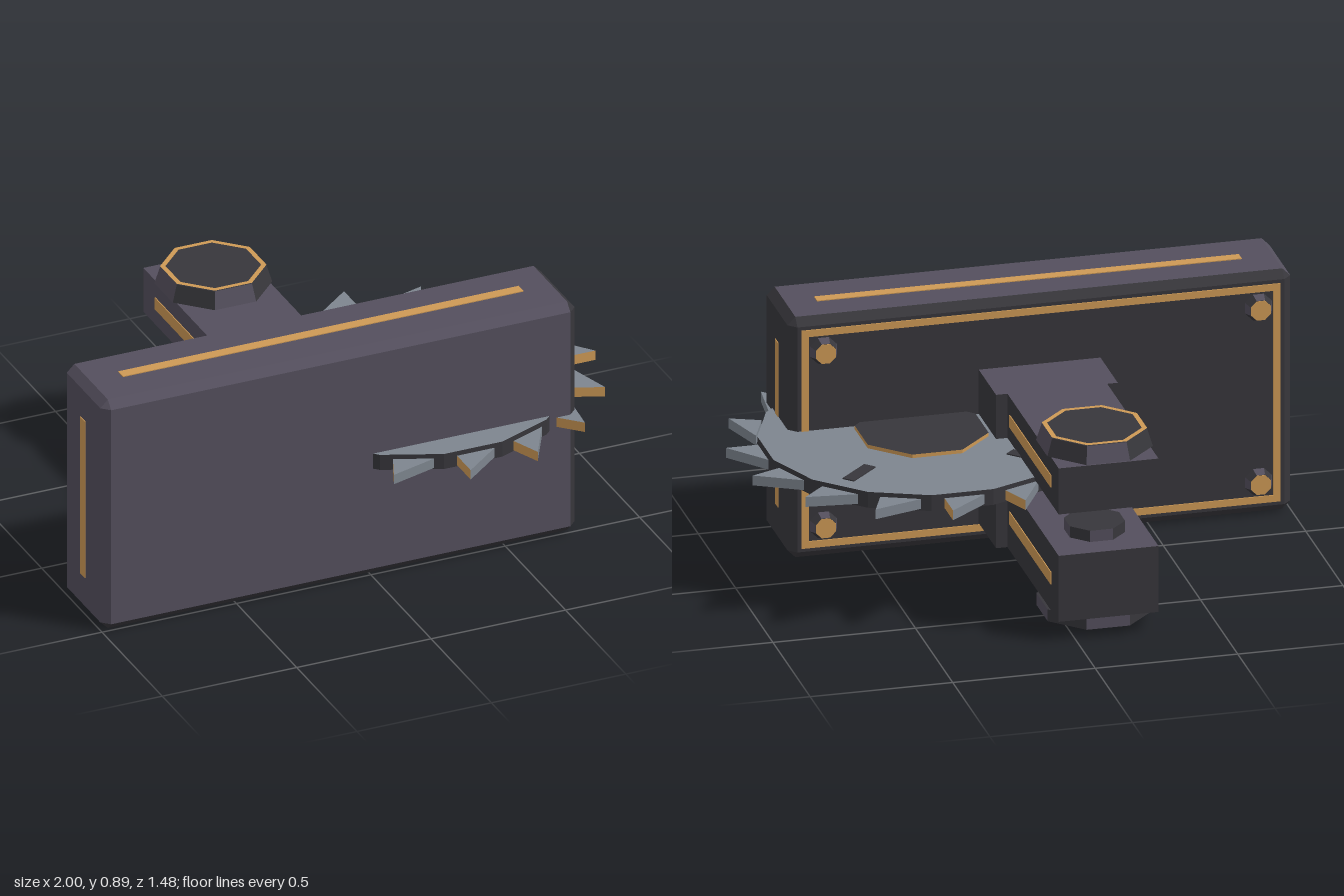
import * as THREE from 'three';
import { ConvexGeometry } from 'three/addons/geometries/ConvexGeometry.js';

const mat = (name, color) => {
  const m = new THREE.MeshStandardMaterial({ color });
  m.name = name;
  return m;
};

export function createModel() {
  const root = new THREE.Group();
  root.name = 'sawBladeBracket';
  const purple = mat('purpleSteel', 0x544f5d);
  const dark = mat('darkSteel', 0x37363b);
  const steel = mat('bladeSteel', 0x7d858e);
  const amber = mat('amberTrim', 0xcd9955);

  const add = (name, geo, material, parent = root) => {
    const m = new THREE.Mesh(geo, material);
    m.name = name;
    parent.add(m);
    return m;
  };

  // Flat-faced geometry whose triangles take a material index from their normal
  const paint = (source, rule) => {
    const geo = source.index ? source.toNonIndexed() : source;
    geo.computeVertexNormals();
    geo.clearGroups();
    const n = new THREE.Vector3();
    for (let i = 0; i < geo.attributes.position.count; i += 3) {
      geo.addGroup(i, 3, rule(n.fromBufferAttribute(geo.attributes.normal, i)));
    }
    return geo;
  };
  const twoTone = (n) => (n.x > 0.5 || n.z < -0.5 || n.y < -0.5 ? 1 : 0);
  const capTone = (n) => (Math.max(Math.abs(n.x), Math.abs(n.z)) > 0.85 ? 0 : 1);

  // Box given by its limits
  const box = (x0, x1, y0, y1, z0, z1) =>
    new THREE.BoxGeometry(x1 - x0, y1 - y0, z1 - z0)
      .translate((x0 + x1) / 2, (y0 + y1) / 2, (z0 + z1) / 2);

  // Prism with flats on the axes, sized by the distance to its flats
  const prism = (top, bottom, y0, y1, sides = 8) => {
    const k = 1 / Math.cos(Math.PI / sides);
    return new THREE.CylinderGeometry(top * k, bottom * k, y1 - y0, sides, 1, false, Math.PI / sides)
      .translate(0, (y0 + y1) / 2, 0);
  };

  // Chamfered plate
  const cx = -0.118, cy = 0.448, cz = 0.347;
  const hx = 0.882, hy = 0.441, hz = 0.167, c = 0.028;
  const corners = [];
  for (const sx of [-1, 1]) for (const sy of [-1, 1]) for (const sz of [-1, 1]) {
    for (const [a, b, d] of [[0, c, c], [c, 0, c], [c, c, 0]]) {
      corners.push(new THREE.Vector3(cx + sx * (hx - a), cy + sy * (hy - b), cz + sz * (hz - d)));
    }
  }
  add('plate', paint(new ConvexGeometry(corners), twoTone), [purple, dark]);

  // Stripes on the four narrow sides of the plate
  for (const s of [-1, 1]) {
    const y = cy + s * hy, x = cx + s * hx;
    add('plateLongStripe', box(-0.86, 0.63, y - 0.003, y + 0.003, 0.322, 0.362), amber);
    add('plateEndStripe', box(x - 0.003, x + 0.003, 0.146, 0.75, 0.325, 0.365), amber);
  }

  // Thin frame and corner bolts on the back of the plate
  const rectangle = (Type, w, h) => new Type([[-w, -h], [w, -h], [w, h], [-w, h]]
    .map(([x, y]) => new THREE.Vector2(x, y)));
  const frame = rectangle(THREE.Shape, 0.84, 0.4);
  frame.holes.push(rectangle(THREE.Path, 0.815, 0.375));
  add('backFrame', new THREE.ExtrudeGeometry(frame, { depth: 0.006, bevelEnabled: false }), amber)
    .position.set(cx, cy, 0.176);
  for (const sx of [-1, 1]) for (const sy of [-1, 1]) {
    const bolt = new THREE.Group();
    bolt.name = 'cornerBolt';
    add('boltHead', paint(prism(0.036, 0.047, 0, 0.033), capTone), [purple, dark], bolt);
    add('boltFace', prism(0.035, 0.035, 0.032, 0.035), amber, bolt);
    bolt.rotation.x = -Math.PI / 2;
    bolt.position.set(cx + sx * 0.763, cy + sy * 0.32, 0.18);
    root.add(bolt);
  }

  // Two clamp arms with side stripes
  for (const [name, y0, y1, s0, s1] of [
    ['upperArm', 0.471, 0.64, 0.531, 0.576],
    ['lowerArm', 0.077, 0.319, 0.175, 0.221],
  ]) {
    const arm = new THREE.Group();
    arm.name = name;
    root.add(arm);
    add('armBeam', paint(box(-0.29, 0.06, y0, y1, -0.74, -0.05), twoTone), [purple, dark], arm);
    add('armRoot', paint(box(-0.327, 0.1, y0, y1, -0.052, 0.185), twoTone), [purple, dark], arm);
    for (const x of [-0.29, 0.06]) {
      add('armStripe', box(x - 0.003, x + 0.003, s0, s1, -0.64, -0.085), amber, arm);
    }
  }

  // Caps and inner pads on the pivot axis
  const pivot = new THREE.Group();
  pivot.name = 'pivot';
  pivot.position.set(-0.115, 0, -0.55);
  root.add(pivot);
  add('topCap', paint(prism(0.167, 0.185, 0.64, 0.702), capTone), [purple, dark], pivot);
  add('bottomCap', paint(prism(0.184, 0.184, 0.035, 0.078), capTone), [purple, dark], pivot);
  add('upperPad', paint(prism(0.085, 0.085, 0.43, 0.472), capTone), [purple, dark], pivot);
  add('lowerPad', paint(prism(0.097, 0.097, 0.318, 0.36), capTone), [purple, dark], pivot);
  const k8 = 1 / Math.cos(Math.PI / 8);
  add('capRing', new THREE.RingGeometry(0.15 * k8, 0.167 * k8, 8, 1, Math.PI / 8)
    .rotateX(-Math.PI / 2), amber, pivot).position.y = 0.705;

  // Blade disc, hub and slots
  const blade = new THREE.Group();
  blade.name = 'sawBlade';
  blade.position.set(0.33, 0, 0.067);
  root.add(blade);
  add('bladeDisc', paint(prism(0.548, 0.548, 0.42, 0.478, 16), (n) => (n.y > 0.5 ? 0 : 1)),
    [steel, dark], blade);
  add('bladeHub', paint(prism(0.212, 0.212, 0.476, 0.491), (n) => (n.y > 0.5 ? 0 : 1)),
    [dark, amber], blade);
  for (let i = 0; i < 4; i++) {
    const slot = new THREE.BoxGeometry(0.145, 0.006, 0.045).translate(0.42, 0.479, 0);
    add('bladeSlot', slot.rotateY(Math.PI / 4 + i * Math.PI / 2), dark, blade);
  }

  // Sixteen raked teeth with amber cutting edges
  const tooth = new THREE.Shape([[0.557, -0.075], [0.67, 0.065], [0.557, 0.065]]
    .map(([x, y]) => new THREE.Vector2(x, y)));
  const toothGeo = paint(
    new THREE.ExtrudeGeometry(tooth, { depth: 0.036, bevelEnabled: false }).rotateX(Math.PI / 2),
    (n) => (n.z > 0.9 ? 1 : 0));
  for (let i = 0; i < 16; i++) {
    const t = add('tooth', toothGeo, [steel, amber], blade);
    t.position.y = 0.466;
    t.rotation.y = i * Math.PI / 8;
  }
  return root;
}
